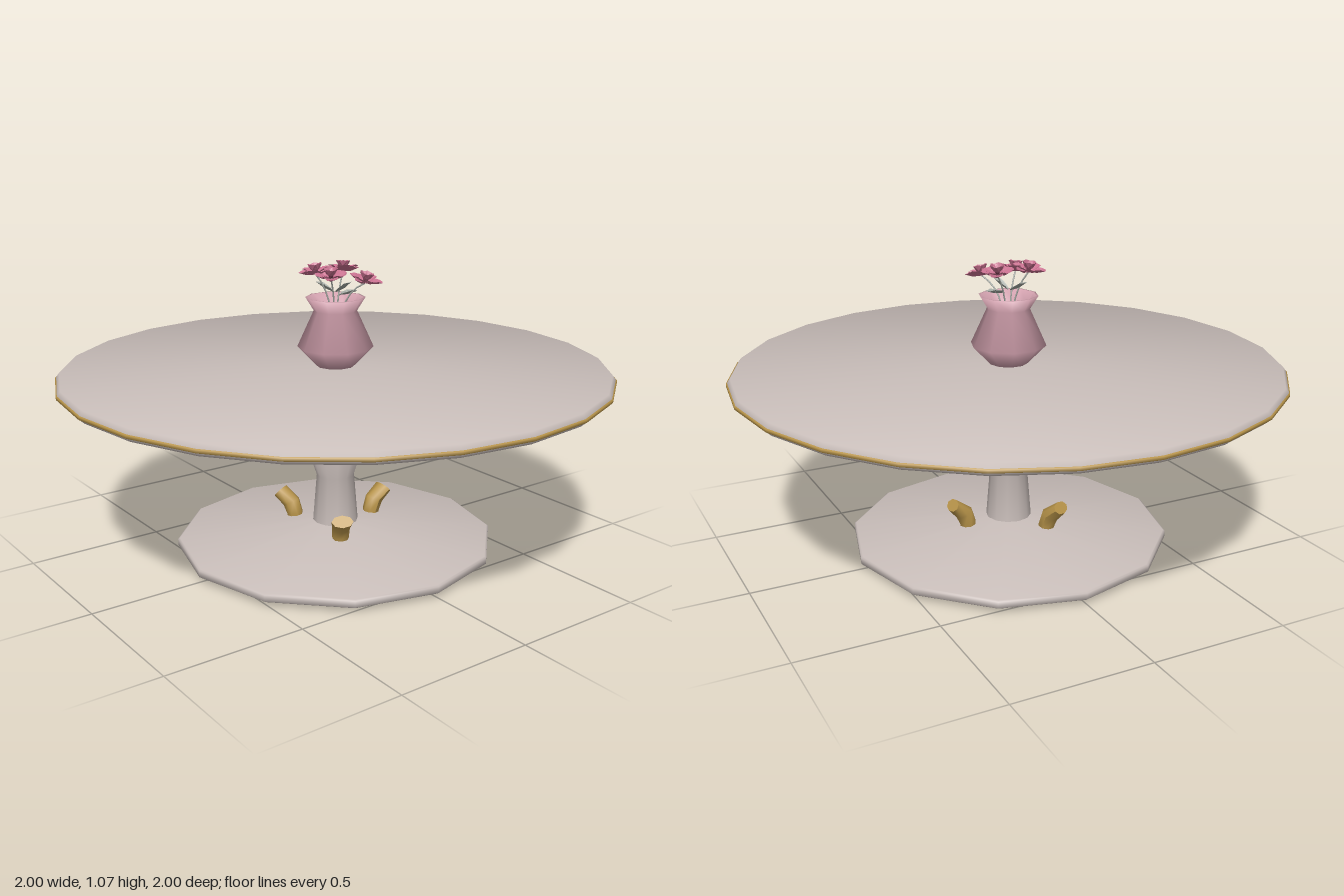
import * as THREE from 'three';

const mat = (name, color, side = THREE.FrontSide) => {
  const m = new THREE.MeshStandardMaterial({ color, side });
  m.name = name;
  return m;
};

// Lathe with evenly weighted smooth normals along the profile (bottom to top)
function turned(profile, sides) {
  const geo = new THREE.LatheGeometry(profile.map(([r, y]) => new THREE.Vector2(r, y)), sides);
  const n = profile.length;
  const edge = (i) => {
    if (i < 0 || i > n - 2) return new THREE.Vector2();
    const dr = profile[i + 1][0] - profile[i][0], dy = profile[i + 1][1] - profile[i][1];
    return new THREE.Vector2(dy, -dr).normalize();
  };
  const normals = profile.map((_, j) => edge(j - 1).add(edge(j)).normalize());
  for (let i = 0; i <= sides; i++) {
    const a = (i / sides) * Math.PI * 2;
    normals.forEach((v, j) => geo.attributes.normal.setXYZ(i * n + j, v.x * Math.sin(a), v.y, v.x * Math.cos(a)));
  }
  return geo;
}

// Cupped petal that starts at the origin and runs along +z
function petalGeometry(length, width, cup) {
  const geo = new THREE.CircleGeometry(1, 9);
  const p = geo.attributes.position;
  for (let i = 0; i < p.count; i++) {
    const x = p.getX(i), t = (p.getY(i) + 1) / 2;
    const w = width * (0.55 + 0.5 * t);
    p.setXYZ(i, x * w, cup * (x * x + 1.2 * t * t - 0.8 * t) + (i % 2) * 0.003, t * length);
  }
  geo.computeVertexNormals();
  return geo;
}

export function createModel() {
  const group = new THREE.Group();
  group.name = 'pedestalTable';
  const stone = mat('stone', 0xc8bdb9);
  const gold = mat('gold', 0xb9954a, THREE.DoubleSide);
  const vasePink = mat('vasePink', 0xd3a2af, THREE.DoubleSide);
  const petalPink = mat('petalPink', 0xc8708f, THREE.DoubleSide);
  const leafGrey = mat('leafGrey', 0xa3a8a2, THREE.DoubleSide);
  const heartDark = mat('flowerHeart', 0x6b3348);
  petalPink.flatShading = true;

  const add = (name, geo, material, parent = group) => {
    const mesh = new THREE.Mesh(geo, material);
    mesh.name = name;
    parent.add(mesh);
    return mesh;
  };

  // Table top with a thin inlaid band round its rim
  add('tableTop', turned([[0, 0.655], [0.982, 0.655], [0.996, 0.668], [0.996, 0.682], [0.985, 0.697], [0, 0.697]], 24), stone);
  add('rimBand', turned([[0.994, 0.667], [1, 0.67], [1, 0.68], [0.994, 0.683]], 24), gold);

  // Broad foot and waisted column
  add('base', turned([[0, 0.015], [0.585, 0.015], [0.592, 0.02], [0.592, 0.043], [0.585, 0.047], [0.06, 0.104]], 12), stone);
  add('column', turned([[0.085, 0.095], [0.07, 0.28], [0.11, 0.4], [0.07, 0.53], [0.14, 0.655]], 12), stone);

  // Three curved horns that pass through the foot and flare outward
  const hornPath = [[0.165, 0], [0.168, 0.05], [0.17, 0.1], [0.185, 0.14], [0.23, 0.178]];
  const hornRadius = [0.02, 0.026, 0.031, 0.033, 0.024];
  const tilt = [0, 0, 0.15, 0.45, 0.85];
  const horn = new THREE.CylinderGeometry(1, 1, 1, 8, 4);
  const hp = horn.attributes.position;
  for (let i = 0; i < hp.count; i++) {
    const k = Math.round((hp.getY(i) + 0.5) * 4);
    const [cx, cy] = hornPath[k], r = hornRadius[k];
    const x = hp.getX(i) * r, wide = k === 4 ? 1.65 : 1;
    hp.setXYZ(i, cx + x * Math.cos(tilt[k]), cy - x * Math.sin(tilt[k]), hp.getZ(i) * r * wide);
  }
  horn.computeVertexNormals();
  for (let i = 0; i < 3; i++) add('horn', horn, gold).rotation.y = (i * Math.PI * 2) / 3;

  // Open faceted vase
  add('vase', turned([[0, 0.698], [0.07, 0.698], [0.138, 0.768], [0.078, 0.9], [0.108, 0.948],
    [0.1, 0.948], [0.07, 0.9], [0.06, 0.87], [0, 0.87]], 10), vasePink).rotation.y = Math.PI / 2;

  // Blossoms: x, y, z, lean about x, lean about z
  const blossoms = [
    [-0.06, 1.03, -0.035, -0.1, 0.1],
    [0.06, 1.03, -0.035, -0.1, -0.1],
    [0.06, 1.005, 0.093, 0.2, -0.12],
    [-0.045, 1.022, 0.035, 0.12, 0.12],
  ];
  const outer = petalGeometry(0.064, 0.03, 0.014);
  const inner = petalGeometry(0.042, 0.021, 0.012);
  blossoms.forEach(([x, y, z, lx, lz], b) => {
    const flower = new THREE.Group();
    flower.name = 'flower';
    flower.position.set(x, y, z);
    flower.rotation.set(lx, 0, lz);
    for (let i = 0; i < 11; i++) {
      const isOuter = i < 6;
      const pet = add('petal', isOuter ? outer : inner, petalPink, flower);
      pet.rotation.set(isOuter ? -0.12 - 0.12 * (i % 2) : -0.75, b * 0.5 + (isOuter ? i / 6 : i / 5) * Math.PI * 2, 0, 'YXZ');
      pet.position.y = isOuter ? 0 : 0.006;
    }
    add('flowerHeart', new THREE.SphereGeometry(0.01, 6, 4), heartDark, flower).position.y = 0.014;
    group.add(flower);

    // Slender stem down into the vase
    const stem = new THREE.QuadraticBezierCurve3(
      new THREE.Vector3(x * 0.2, 0.87, z * 0.2), new THREE.Vector3(x * 0.3, 0.97, z * 0.3), new THREE.Vector3(x, y, z));
    add('stem', new THREE.TubeGeometry(stem, 5, 0.003, 5), leafGrey);
  });

  // Small leaves above the rim
  const leaf = petalGeometry(0.075, 0.017, 0.012);
  [[0.01, 0.955, 0.01, 1.5, -0.05], [0, 0.965, 0.0, 0.6, -0.5], [0, 0.965, -0.01, 3.9, -0.4]].forEach(([x, y, z, turn, lift]) => {
    const l = add('leaf', leaf, leafGrey);
    l.position.set(x, y, z);
    l.rotation.set(lift, turn, 0, 'YXZ');
  });

  return group;
}
